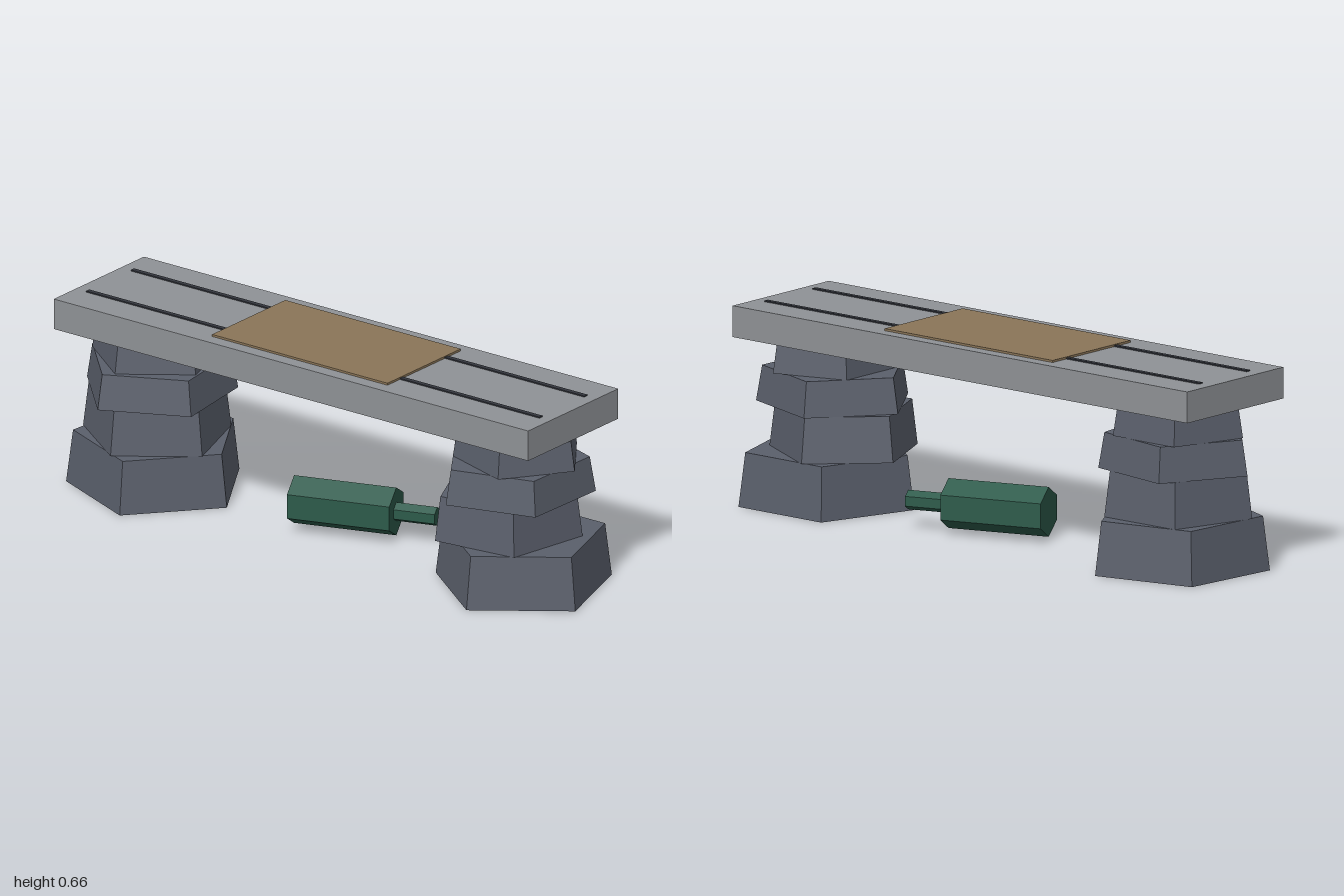
import * as THREE from 'three';

const material = (color) => new THREE.MeshStandardMaterial({ color, flatShading: true });

export function createModel() {
  const model = new THREE.Group();
  const stoneMat = material(0x5a5f6b);
  const slabMat = material(0x8f9296);
  const grooveMat = material(0x33363d);
  const clothMat = material(0x8a7558);
  const bottleMat = material(0x2c5a4a);

  const add = (parent, name, geometry, mat, x, y, z) => {
    const mesh = new THREE.Mesh(geometry, mat);
    mesh.name = name;
    mesh.position.set(x, y, z);
    parent.add(mesh);
    return mesh;
  };

  // Stacked five-sided stones: levels shared by both legs
  const levels = [0, 0.178, 0.328, 0.445, 0.552];
  // Each stone: centre x, centre z, bottom radius, angle of one corner from +x towards +z
  const stacks = {
    rightLeg: [
      [-0.745, -0.003, 0.298, 77],
      [-0.747, 0.002, 0.25, 89],
      [-0.743, 0.004, 0.26, 100],
      [-0.755, -0.008, 0.22, 90],
    ],
    leftLeg: [
      [0.716, -0.022, 0.297, 90],
      [0.662, -0.006, 0.25, 47],
      [0.698, 0, 0.262, 37.5],
      [0.722, -0.003, 0.218, 0],
    ],
  };
  for (const [name, stones] of Object.entries(stacks)) {
    const leg = new THREE.Group();
    leg.name = name;
    stones.forEach(([x, z, r, deg], i) => {
      const h = levels[i + 1] - levels[i];
      const start = Math.PI / 2 - THREE.MathUtils.degToRad(deg);
      const stone = new THREE.CylinderGeometry(r * 0.925, r, h, 5, 1, false, start);
      add(leg, `stone${i + 1}`, stone, stoneMat, x, levels[i] + h / 2, z);
    });
    model.add(leg);
  }

  // Bench slab
  add(model, 'slab', new THREE.BoxGeometry(1.92, 0.103, 0.474), slabMat, -0.03, 0.6015, -0.008);

  // Two dark strips along the slab
  for (const z of [-0.127, 0.109]) {
    add(model, 'strip', new THREE.BoxGeometry(1.835, 0.008, 0.017), grooveMat, -0.028, 0.653, z);
  }

  // Cloth lying over the middle
  add(model, 'cloth', new THREE.BoxGeometry(0.71, 0.008, 0.385), clothMat, -0.03, 0.656, -0.01);

  // Hexagonal bottle lying on its side beneath the bench
  const bottle = new THREE.Group();
  bottle.name = 'bottle';
  const hexRod = (name, r, from, to) => {
    const rod = new THREE.CylinderGeometry(r, r, to - from, 6, 1, false, Math.PI / 2);
    rod.rotateZ(-Math.PI / 2);
    add(bottle, name, rod, bottleMat, (from + to) / 2, 0, 0);
  };
  hexRod('bottleBody', 0.082, 0, 0.346);
  hexRod('bottleNeck', 0.032, 0.34, 0.485);
  bottle.position.set(-0.178, 0.093, 0.02);
  bottle.rotation.y = 0.33;
  model.add(bottle);

  return model;
}
